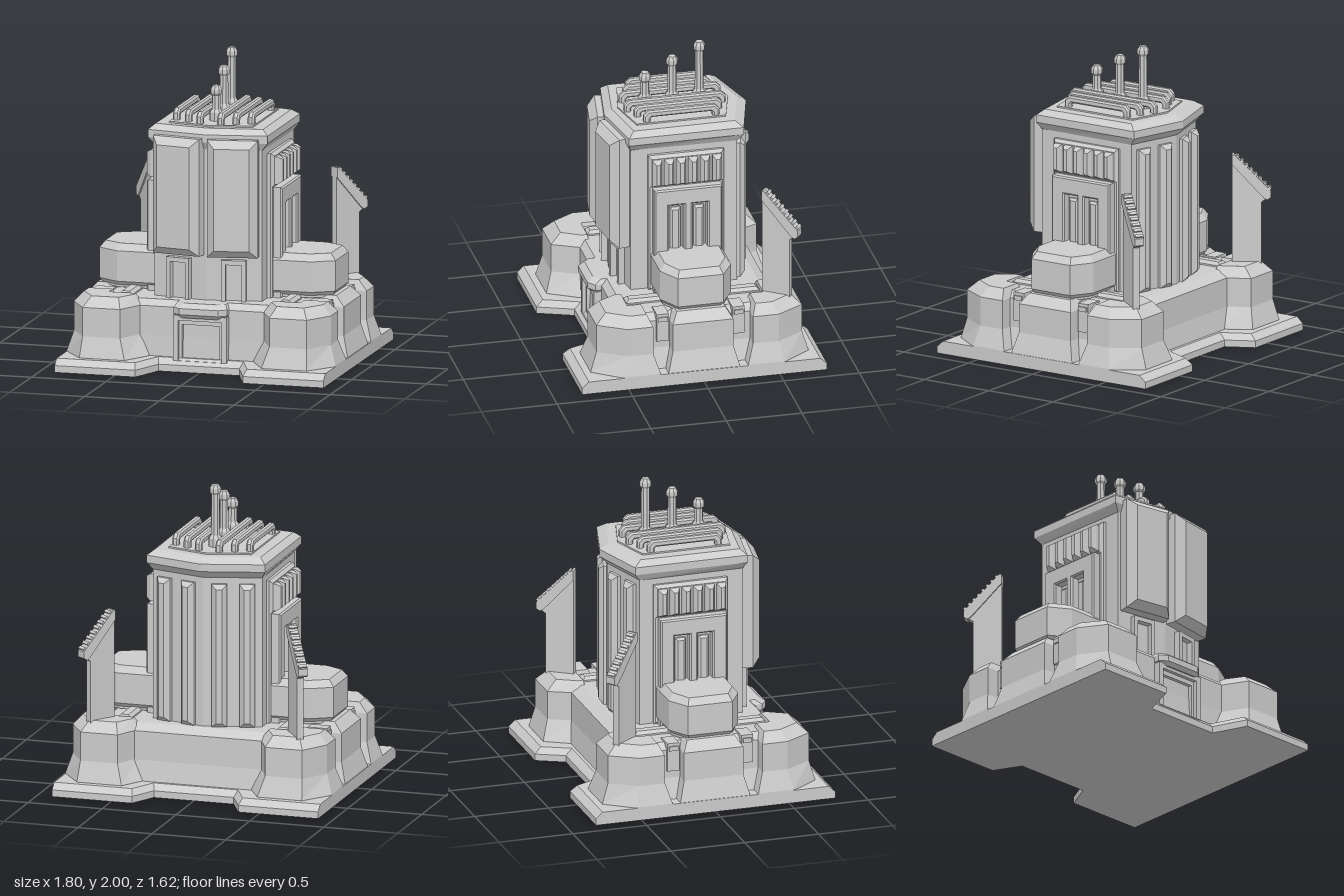
import * as THREE from 'three';

const material = new THREE.MeshStandardMaterial({ color: 0xcccccc, flatShading: true });

function addMesh(parent, name, geometry, x = 0, y = 0, z = 0, turn = 0) {
  const mesh = new THREE.Mesh(geometry, material);
  mesh.name = name;
  mesh.position.set(x, y, z);
  mesh.rotation.y = turn;
  parent.add(mesh);
  return mesh;
}

// Solid through horizontal outlines: levels = [[y, [[x, z], ...]], ...], sx/sz mirror it
function loft(levels, sx = 1, sz = 1) {
  const rings = levels.map(([y, pts]) => pts.map(([x, z]) => new THREE.Vector3(x * sx, y, z * sz)));
  const flat = ring => ring.map(p => new THREE.Vector2(p.x, -p.z));
  if (THREE.ShapeUtils.area(flat(rings[0])) < 0) rings.forEach(r => r.reverse());
  const out = [];
  const n = rings[0].length;
  for (let k = 0; k < rings.length - 1; k++) {
    const lo = rings[k], hi = rings[k + 1];
    for (let i = 0; i < n; i++) {
      const j = (i + 1) % n;
      out.push(lo[i], lo[j], hi[j], lo[i], hi[j], hi[i]);
    }
  }
  const top = rings[rings.length - 1], bottom = rings[0];
  for (const [a, b, c] of THREE.ShapeUtils.triangulateShape(flat(top), [])) out.push(top[a], top[b], top[c]);
  for (const [a, b, c] of THREE.ShapeUtils.triangulateShape(flat(bottom), [])) out.push(bottom[a], bottom[c], bottom[b]);
  const geometry = new THREE.BufferGeometry().setFromPoints(out);
  geometry.computeVertexNormals();
  return geometry;
}

const rect = (x0, x1, z0, z1) => [[x0, z0], [x1, z0], [x1, z1], [x0, z1]];
// Outline symmetric in x from its +x half
const mirrorX = half => [...half, ...half.filter(p => p[0] !== 0).reverse().map(([x, z]) => [-x, z])];

// Bevelled panel standing on the xy plane and facing +z
function slab(w, h, d, bevel, inset = bevel) {
  const a = w / 2, b = h / 2, c = a - inset, e = b - inset;
  return loft([[0, rect(-a, a, -b, b)], [d - bevel, rect(-a, a, -b, b)], [d, rect(-c, c, -e, e)]]).rotateX(Math.PI / 2);
}

function extrude(points, depth, holes = [], bevel = 0) {
  const toV = p => p.map(([x, y]) => new THREE.Vector2(x, y));
  const shape = new THREE.Shape(toV(points));
  holes.forEach(h => shape.holes.push(new THREE.Path(toV(h))));
  return new THREE.ExtrudeGeometry(shape, {
    depth, bevelEnabled: bevel > 0, bevelSize: bevel, bevelThickness: bevel, bevelSegments: 1, bevelOffset: -bevel,
  });
}

function buildBase(g) {
  const plate = (d, dx) => [
    ...mirrorX([[0.27 + dx, 0.58 - d], [0.36 + dx, 0.81 - d], [0.9, 0.81 - d],
      [0.9, -0.81 + d], [0.36 + dx, -0.81 + d], [0.27 + dx, -0.63 + d]])];
  addMesh(g, 'basePlate', loft([[0, plate(0, 0)], [0.045, plate(0, 0)], [0.085, plate(0.045, 0.015)]]));

  addMesh(g, 'lowerBody', loft([
    [0.05, rect(-0.82, 0.82, -0.57, 0.52)], [0.22, rect(-0.77, 0.77, -0.54, 0.51)],
    [0.41, rect(-0.77, 0.77, -0.54, 0.51)], [0.45, rect(-0.72, 0.72, -0.47, 0.47)]]));

  // Flared corner bastions
  const foot = [[0.35, 0.44], [0.35, 0.53], [0.46, 0.72], [0.76, 0.72], [0.9, 0.53], [0.9, 0.29], [0.6, 0.29], [0.6, 0.44]];
  const wall = [[0.41, 0.44], [0.41, 0.5], [0.5, 0.68], [0.75, 0.68], [0.86, 0.5], [0.86, 0.33], [0.62, 0.33], [0.62, 0.44]];
  const crown = [[0.46, 0.45], [0.46, 0.49], [0.53, 0.61], [0.71, 0.61], [0.8, 0.47], [0.8, 0.36], [0.64, 0.36], [0.64, 0.45]];
  for (const sx of [1, -1]) {
    for (const sz of [1, -1]) {
      addMesh(g, 'cornerBastion', loft([[0.05, foot], [0.09, foot], [0.22, wall], [0.41, wall], [0.475, crown]], sx, sz));
      addMesh(g, 'edgeClip', new THREE.BoxGeometry(0.13, 0.19, 0.08), sx * 0.725, 0.365, sz * 0.25);
      addMesh(g, 'clipCap', new THREE.BoxGeometry(0.12, 0.03, 0.06), sx * 0.74, 0.425, sz * 0.25);
      addMesh(g, 'deckVent', slab(0.09, 0.24, 0.05, 0.02), sx * 0.535, 0.43, sz * 0.32).rotation.x = -Math.PI / 2;
    }
    // Middle buttress and the pod on it
    addMesh(g, 'sideButtress', loft([
      [0.05, rect(0.4, 0.9, -0.24, 0.24)], [0.09, rect(0.4, 0.895, -0.235, 0.235)], [0.22, rect(0.4, 0.86, -0.2, 0.2)],
      [0.41, rect(0.4, 0.86, -0.2, 0.2)], [0.475, rect(0.4, 0.8, -0.16, 0.16)]], sx));
    const pod = d => [[0.38, -0.235 + d], [0.65 - d / 2, -0.235 + d], [0.79 - d, -0.15 + d / 2],
      [0.79 - d, 0.15 - d / 2], [0.65 - d / 2, 0.235 - d], [0.38, 0.235 - d]];
    addMesh(g, 'sidePod', loft([[0.46, pod(0.02)], [0.475, pod(0.02)], [0.5, pod(0)], [0.7, pod(0)], [0.745, pod(0.035)]], sx));
  }

  // Main entrance: stepped frame, recessed door and canopy
  const arch = (w, h) => [[-w, 0.07], [w, 0.07], [w, h], [-w, h]];
  addMesh(g, 'entranceFrame', extrude(arch(0.18, 0.37), 0.06, [arch(0.145, 0.335)]), 0, 0, 0.5);
  addMesh(g, 'entranceInnerFrame', extrude(arch(0.145, 0.335), 0.035, [arch(0.125, 0.305)]), 0, 0, 0.5);
  const canopy = (w, z) => mirrorX([[w, 0.45], [w, z - 0.04], [w - 0.05, z]]);
  addMesh(g, 'entranceCanopy', loft([[0.355, canopy(0.16, 0.57)], [0.38, canopy(0.18, 0.59)],
    [0.42, canopy(0.18, 0.59)], [0.45, canopy(0.16, 0.55)]]));
}

function buildTower(g) {
  const body = mirrorX([[0, 0.42], [0.36, 0.36], [0.37, -0.34], [0, -0.44]]);
  addMesh(g, 'towerBody', loft([[0.44, body], [1.47, body]]));
  const eave = mirrorX([[0, 0.45], [0.4, 0.38], [0.4, -0.38], [0, -0.49]]);
  const roof = mirrorX([[0, 0.4], [0.36, 0.34], [0.355, -0.33], [0, -0.43]]);
  addMesh(g, 'roofCap', loft([[1.44, body], [1.49, eave], [1.54, eave], [1.575, roof]]));
  const inner = mirrorX([[0, 0.36], [0.28, 0.3], [0.28, -0.29], [0, -0.37]]);
  addMesh(g, 'roofDeck', loft([[1.56, inner], [1.585, inner]]));

  for (const s of [1, -1]) {
    // Front face: large armour panel and small doorway, following the wall's angle
    const turn = s * Math.atan(0.06 / 0.36);
    addMesh(g, 'frontPanel', slab(0.33, 0.77, 0.13, 0.05), s * 0.175, 1.13, 0.38, turn);
    const door = (a, h) => [[-a, 0.45], [a, 0.45], [a, h], [-a, h]];
    addMesh(g, 'balconyDoorFrame', extrude(door(0.08, 0.72), 0.045, [door(0.052, 0.69)]), s * 0.18, 0, 0.385, turn);

    // Side face: backing wall, window frame and louvres
    const side = new THREE.Group();
    side.name = 'sideFacade';
    side.rotation.y = s * Math.PI / 2;
    side.position.x = s * 0.36;
    g.add(side);
    addMesh(side, 'sideWall', slab(0.5, 0.95, 0.035, 0.01), 0, 0.925, 0);
    const win = c => [[c - 0.05, 0.65], [c + 0.05, 0.65], [c + 0.05, 1.06], [c - 0.05, 1.06]];
    addMesh(side, 'windowFrame', extrude([[-0.225, 0.45], [0.225, 0.45], [0.225, 1.175], [-0.225, 1.175]], 0.085,
      [win(-0.078), win(0.078)], 0.01));
    for (const c of [-0.078, 0.078]) addMesh(side, 'windowPanel', slab(0.07, 0.38, 0.03, 0.015), c, 0.84, 0.035);
    addMesh(side, 'louvreBacking', slab(0.48, 0.21, 0.045, 0.01), 0, 1.285, 0);
    for (let i = 0; i < 6; i++) {
      addMesh(side, 'louvre', slab(0.06, 0.18, 0.065, 0.03, 0.018), (i - 2.5) * 0.079, 1.285, 0.03);
    }

    // Rear face: tall ribs
    const back = Math.PI - s * Math.atan(0.1 / 0.37);
    for (const x of [0.1, 0.275]) {
      addMesh(g, 'rearRib', slab(0.1, 0.95, 0.06, 0.03), s * x, 0.925, -0.43 + x * 0.27, back);
    }
  }
}

function buildRoofGear(g) {
  // Staple-shaped pipes
  [[0.07, 0.335], [0.16, 0.29], [0.25, 0.25]].forEach(([x, r]) => {
    const t = r - 0.045;
    const staple = [[-r, 1.56], [-r, 1.63], [-r + 0.03, 1.66], [r - 0.03, 1.66], [r, 1.63], [r, 1.56],
      [t, 1.56], [t, 1.605], [t - 0.01, 1.615], [-t + 0.01, 1.615], [-t, 1.605], [-t, 1.56]];
    for (const s of [1, -1]) {
      addMesh(g, 'roofPipe', extrude(staple, 0.022, [], 0.011).translate(0, 0, -0.011), s * x, 0, 0, Math.PI / 2);
    }
  });
  // Ball-topped masts rising toward the rear
  [[0.18, 1.82], [0, 1.915], [-0.18, 2]].forEach(([z, top]) => {
    const profile = [[0, 1.56], [0.045, 1.56], [0.045, 1.64], [0.03, 1.66], [0.028, top - 0.07], [0.039, top - 0.055],
      [0.039, top - 0.03], [0.025, top - 0.006], [0, top]];
    addMesh(g, 'mast', new THREE.LatheGeometry(profile.map(p => new THREE.Vector2(...p)), 8), 0, 0, z);
  });
}

// Upright blade with a sloping ribbed edge, on each rear bastion
function buildFins(g) {
  for (const s of [1, -1]) {
    const fin = new THREE.Group();
    fin.name = 'rearFin';
    fin.position.set(s * 0.605, 0, -0.46);
    fin.rotation.y = s > 0 ? 0.95 : Math.PI - 0.95;
    g.add(fin);
    const blade = [[0, 0.44], [0.19, 0.44], [0.19, 0.87], [0.235, 0.9], [0.235, 0.94], [0.02, 1.17], [0, 1.17]];
    addMesh(fin, 'finBlade', extrude(blade, 0.045).translate(0, 0, -0.0225));
    const edge = [[0, 1.12], [0.2, 0.9], [0.225, 0.885], [0.25, 0.9], [0.25, 0.945], [0.015, 1.185], [0, 1.185]];
    addMesh(fin, 'finEdge', extrude(edge, 0.064).translate(0, 0, -0.032));
    for (let i = 0; i < 8; i++) {
      const t = (i + 0.6) / 8;
      const tooth = addMesh(fin, 'finTooth', new THREE.BoxGeometry(0.02, 0.024, 0.055), 0.015 + 0.235 * t, 1.187 - 0.24 * t, 0);
      tooth.rotation.z = -Math.PI / 4;
    }
  }
}

export function createModel() {
  const model = new THREE.Group();
  model.name = 'fortifiedTower';
  buildBase(model);
  buildTower(model);
  buildRoofGear(model);
  buildFins(model);
  return model;
}
